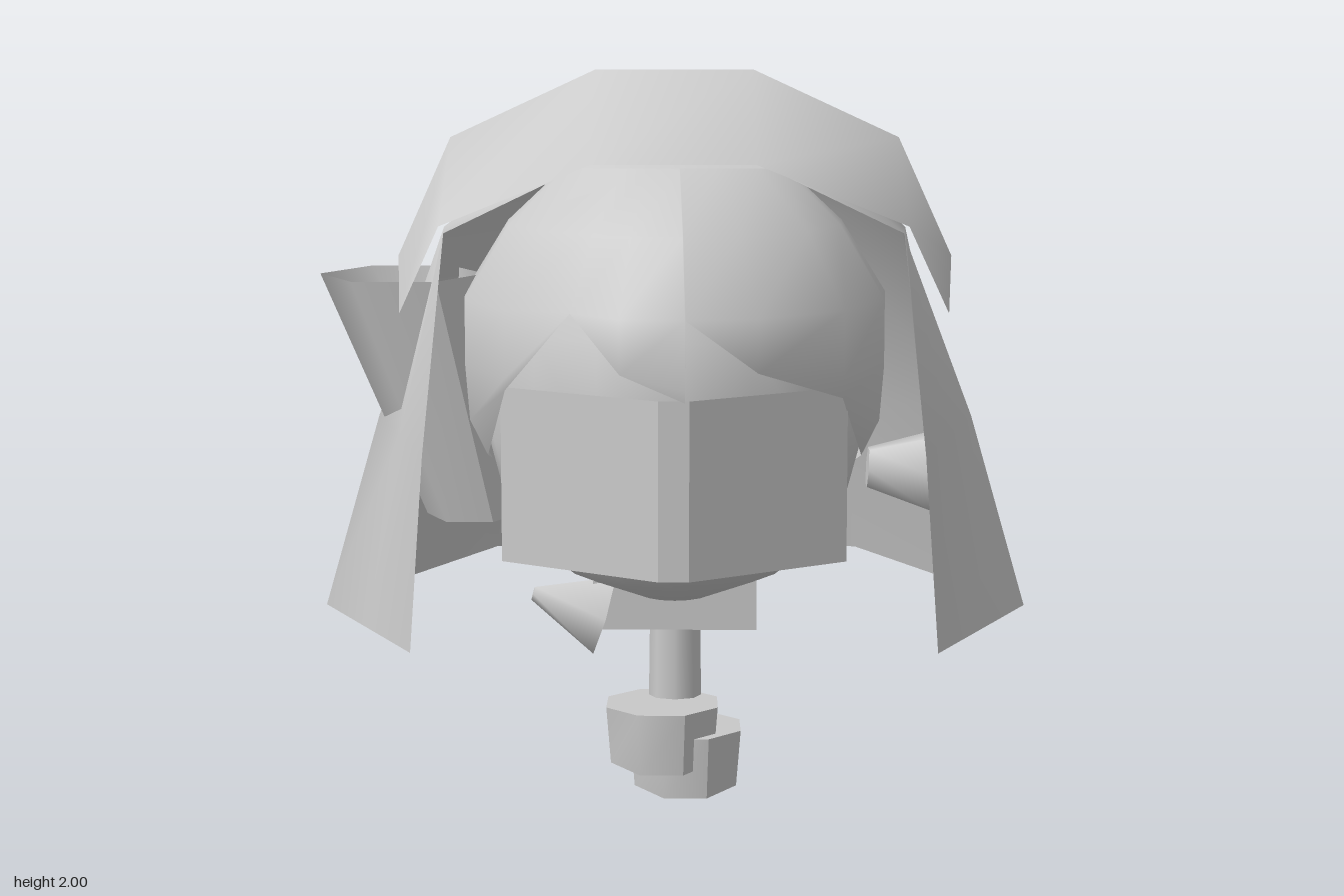
import * as THREE from 'three';
import { mergeVertices } from 'three/addons/utils/BufferGeometryUtils.js';

const mat = new THREE.MeshStandardMaterial({ color: 0xcccccc, side: THREE.DoubleSide });
const flat = new THREE.MeshStandardMaterial({ color: 0xcccccc, side: THREE.DoubleSide, flatShading: true });

// Smooth sheet through rows of points, welded where points coincide
function sheet(rows) {
  const n = rows[0].length, index = [];
  for (let r = 0; r < rows.length - 1; r++)
    for (let c = 0; c < n - 1; c++) {
      const a = r * n + c, b = a + n;
      index.push(a, a + 1, b, a + 1, b + 1, b);
    }
  const g = new THREE.BufferGeometry();
  g.setAttribute('position', new THREE.Float32BufferAttribute(rows.flat(2), 3));
  g.setIndex(index);
  const welded = mergeVertices(g);
  welded.computeVertexNormals();
  return welded;
}

// Half row from the side to the middle, completed by its mirror image
const mirrorRow = half => [
  ...half.map(([x, y, z]) => [-x, y, z]),
  ...half.slice(0, half[half.length - 1][0] === 0 ? -1 : undefined).reverse(),
];

// Tapered limb between two points
function limb(from, to, r0, r1, sides) {
  const a = new THREE.Vector3(...from), b = new THREE.Vector3(...to);
  const dir = b.clone().sub(a);
  const g = new THREE.CylinderGeometry(r1, r0, dir.length(), sides);
  g.applyQuaternion(new THREE.Quaternion().setFromUnitVectors(new THREE.Vector3(0, 1, 0), dir.normalize()));
  g.translate(...a.add(b).multiplyScalar(0.5).toArray());
  return g;
}

// Rounded shoe, its toe lifted by a slope along z
function shoe(x, y, z, width, height, length, slope) {
  const g = new THREE.CylinderGeometry(0.5, 0.46, height, 8, 1);
  g.rotateY(Math.PI / 8);
  g.scale(width / 0.924, 1, length / 0.924);
  const p = g.attributes.position;
  for (let i = 0; i < p.count; i++) if (p.getY(i) > 0) p.setY(i, p.getY(i) + slope * p.getZ(i));
  g.translate(x, y, z);
  g.computeVertexNormals();
  return g;
}

// Radius factor of the hair at height y
const hairProfile = [[1.76, 0], [1.74, 0.5], [1.58, 0.79], [1.38, 1], [1.2, 1], [1.05, 0.98], [0.88, 0.84], [0.7, 0.62]];
function hairRadius(y) {
  for (let i = 1; i < hairProfile.length; i++) {
    const [y0, r0] = hairProfile[i - 1], [y1, r1] = hairProfile[i];
    if (y >= y1) return r0 + (r1 - r0) * (y0 - y) / (y0 - y1);
  }
  return 0.62;
}

export function createModel() {
  const model = new THREE.Group();
  const add = (name, geometry, material = mat) => {
    const mesh = new THREE.Mesh(geometry, material);
    mesh.name = name;
    model.add(mesh);
  };

  // Veil, open at the front: rows from the hem to the crown ridge
  const veil = [
    [[0.70, 0.47, 0.63], [0.85, 0.47, 0.335], [1, 0.47, 0.04], [0.56, 0.5, -0.66], [0, 0.5, -0.85]],
    [[0.66, 1.0, 0.64], [0.75, 1.01, 0.34], [0.84, 1.02, 0.04], [0.50, 1.0, -0.56], [0, 1.02, -0.70]],
    [[0.59, 1.59, 0.71], [0.62, 1.58, 0.36], [0.63, 1.57, 0.04], [0.40, 1.58, -0.38], [0, 1.62, -0.46]],
    [[0.24, 1.76, 0.78], [0.22, 1.89, 0.38], [0.20, 1.93, 0.04], [0.13, 1.94, -0.04], [0, 1.945, -0.05]],
  ].map(mirrorRow);
  veil.push(veil[3].map(([, y, z]) => [0, y, z]));
  add('veil', sheet(veil));

  // Tilted headband over the forehead
  add('headband', sheet([
    [[0.76, 1.49, 0.21], [0.60, 1.82, 0.36], [0.21, 2.0, 0.39]],
    [[0.72, 1.37, 0.58], [0.60, 1.61, 0.74], [0.21, 1.77, 0.82]],
  ].map(mirrorRow)));

  // Head
  const head = new THREE.LatheGeometry(
    [[0, 0.53], [0.1, 0.53], [0.3, 0.61], [0.46, 0.74], [0.53, 1.0], [0.52, 1.3], [0.38, 1.6], [0, 1.7]]
      .map(p => new THREE.Vector2(...p)), 16);
  head.scale(1, 1, 1.1);
  head.translate(0, 0, 0.15);
  add('head', head);

  // Hair cap: [angle from the front, height of the lower edge]
  const fringe = [[-180, 0.7], [-150, 0.7], [-120, 0.78], [-95, 0.9], [-75, 0.95], [-49, 1.17], [-27, 1.39],
    [-13.5, 1.24], [2.8, 1.17], [3, 1.38], [21.5, 1.24], [49, 1.15], [75, 0.95], [95, 0.9], [120, 0.78],
    [150, 0.7], [180, 0.7]];
  add('hair', sheet(hairProfile.map(([level]) => fringe.map(([deg, edge]) => {
    const y = Math.max(level, edge), r = hairRadius(y), a = deg * Math.PI / 180;
    return [0.59 * r * Math.sin(a), y, 0.15 + 0.7 * r * Math.cos(a)];
  }))));

  // Folded face panel
  add('facePanel', sheet([1.17, 0.7].map(y =>
    [[-0.46, y, 0.54], [-0.04, y, 0.81], [0.04, y, 0.81], [0.46, y, 0.54]])), flat);

  // Collar, neck and slim body
  const collar = new THREE.BoxGeometry(0.46, 0.14, 0.03);
  collar.translate(0, 0.5, 0.17);
  add('collar', collar);
  const body = new THREE.CylinderGeometry(0.07, 0.075, 0.36, 8);
  body.scale(1, 1, 1.3);
  body.translate(0, 0.38, 0.08);
  add('body', body);

  // Raised right arm: wide six-sided sleeve leaning outward
  const sleeve = new THREE.CylinderGeometry(0.23, 0.13, 0.68, 6, 1, true);
  sleeve.rotateY(Math.PI / 6);
  sleeve.scale(1, 1, 1.2);
  const p = sleeve.attributes.position;
  for (let i = 0; i < p.count; i++) p.setX(i, p.getX(i) - 0.28 * p.getY(i));
  sleeve.translate(-0.665, 1.09, 0.11);
  sleeve.computeVertexNormals();
  add('rightSleeve', sleeve);
  add('rightArm', limb([-0.4, 0.53, 0.16], [-0.2, 0.47, 0.15], 0.02, 0.12, 5));
  add('leftHand', limb([0.54, 0.89, 0.15], [0.72, 0.88, 0.15], 0.06, 0.12, 6));

  // Shoes, one resting on the other
  add('rightShoe', shoe(-0.035, 0.155, 0.22, 0.31, 0.15, 0.48, 0.1));
  add('leftShoe', shoe(0.03, 0.075, 0.17, 0.31, 0.15, 0.48, 0.1));

  return model;
}
